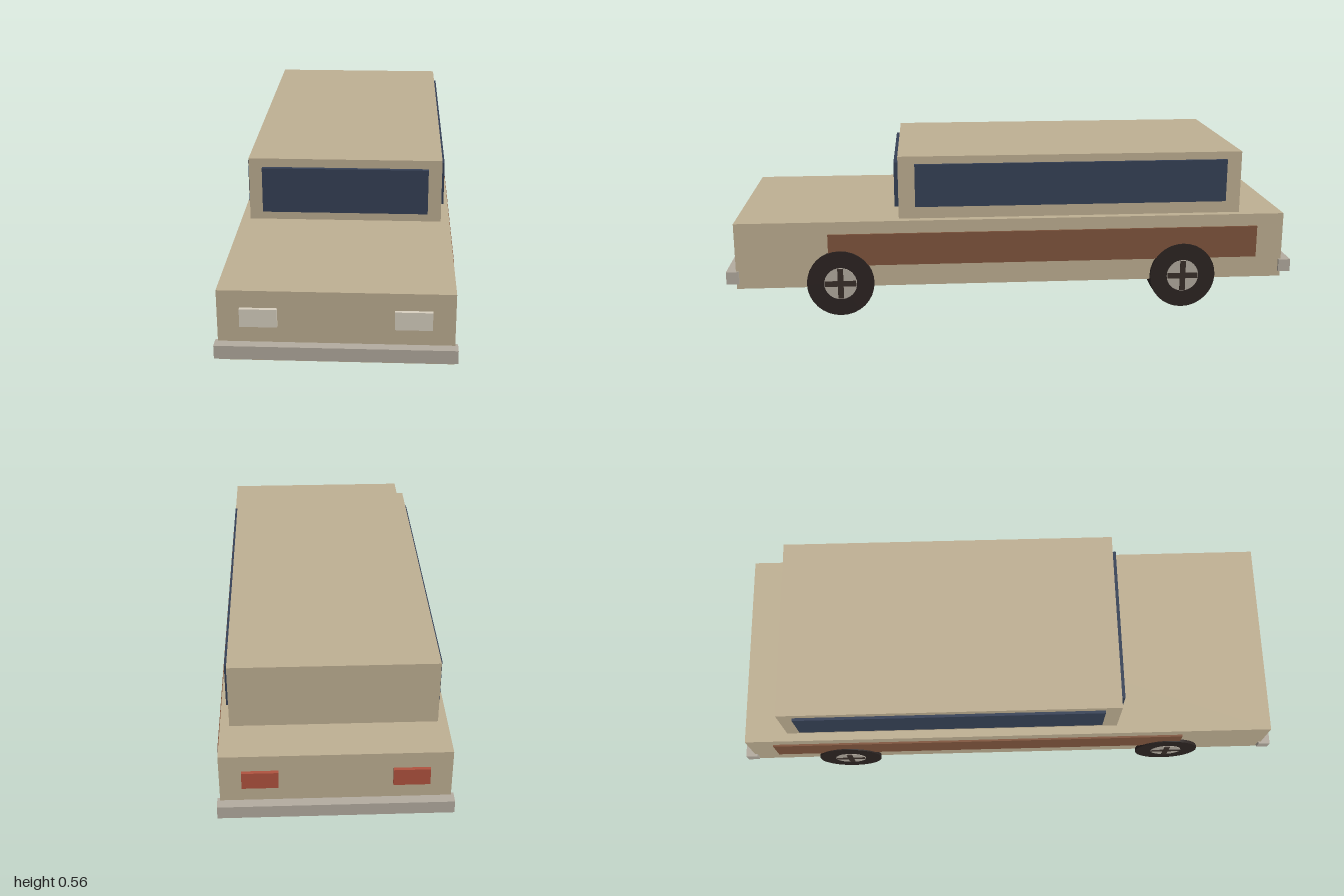
import * as THREE from 'three';

const mat = (color) => new THREE.MeshStandardMaterial({ color });

export function createModel() {
  const car = new THREE.Group();
  car.name = 'stationWagon';

  const paint = mat(0xbfb093), glass = mat(0x364156), wood = mat(0x80553d);
  const chrome = mat(0xb4aca0), lamp = mat(0xd9d1c1), red = mat(0xb0533f);
  const rubber = mat(0x2c2422), spokeMat = mat(0x3a2f2a);

  // Box given by its minimum and maximum on each axis
  function box(name, material, [x0, x1], [y0, y1], [z0, z1], parent = car) {
    const mesh = new THREE.Mesh(new THREE.BoxGeometry(x1 - x0, y1 - y0, z1 - z0), material);
    mesh.position.set((x0 + x1) / 2, (y0 + y1) / 2, (z0 + z1) / 2);
    mesh.name = name;
    parent.add(mesh);
    return mesh;
  }

  // Body and cabin
  box('body', paint, [-0.36, 0.36], [0.103, 0.337], [-0.967, 0.967]);
  box('cabin', paint, [-0.33, 0.33], [0.337, 0.558], [-0.813, 0.4]);
  box('windshield', glass, [-0.284, 0.284], [0.369, 0.528], [0.39, 0.415]);

  // Bumpers
  box('frontBumper', chrome, [-0.369, 0.369], [0.123, 0.167], [0.957, 1]);
  box('rearBumper', chrome, [-0.369, 0.369], [0.123, 0.167], [-1, -0.957]);

  // Wheel with its axle along x, dark tyre, pale hub and crossed spokes
  function wheel(name, x, z) {
    const group = new THREE.Group();
    group.name = name;
    group.position.set(x, 0.117, z);
    const disc = (part, material, radius, width) => {
      const geometry = new THREE.CylinderGeometry(radius, radius, width, 32).rotateZ(Math.PI / 2);
      const mesh = new THREE.Mesh(geometry, material);
      mesh.name = part;
      group.add(mesh);
    };
    disc('tyre', rubber, 0.117, 0.083);
    disc('hub', chrome, 0.057, 0.087);
    box('spokeVertical', spokeMat, [-0.046, 0.046], [-0.054, 0.054], [-0.01, 0.01], group);
    box('spokeHorizontal', spokeMat, [-0.0455, 0.0455], [-0.01, 0.01], [-0.054, 0.054], group);
    car.add(group);
  }

  // Parts mirrored on both sides
  for (const [side, s] of [['left', 1], ['right', -1]]) {
    const span = (a, b) => (s > 0 ? [a, b] : [-b, -a]);
    box(side + 'SideWindow', glass, span(0.32, 0.34), [0.38, 0.531], [-0.76, 0.342]);
    box(side + 'WoodPanel', wood, span(0.35, 0.367), [0.18, 0.293], [-0.872, 0.647]);
    box(side + 'Headlight', lamp, span(0.177, 0.291), [0.222, 0.281], [0.955, 0.979]);
    box(side + 'TailLight', red, span(0.177, 0.291), [0.222, 0.281], [-0.979, -0.955]);
    wheel(side + 'FrontWheel', s * 0.3295, 0.607);
    wheel(side + 'RearWheel', s * 0.3295, -0.607);
  }
  return car;
}
